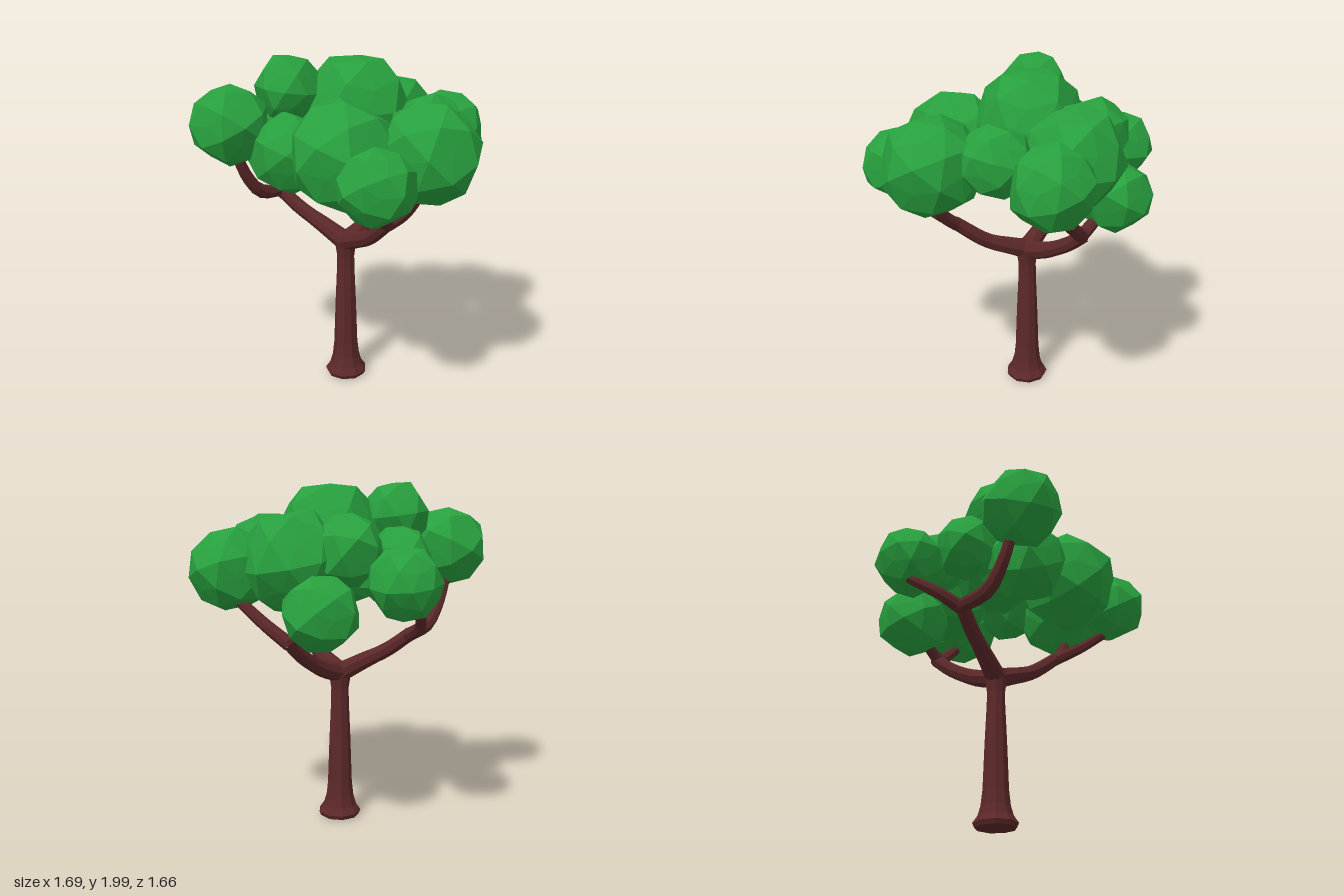
import * as THREE from 'three';
import { mergeVertices } from 'three/addons/utils/BufferGeometryUtils.js';

let seed = 7;
const rand = () => (seed = (seed * 16807) % 2147483647) / 2147483647;

// Faceted ball of leaves: the twelve corners are pressed in to make pentagonal facets
function leafGeometry(r) {
  const strip = (g) => { g.deleteAttribute('normal'); g.deleteAttribute('uv'); return mergeVertices(g); };
  const corners = strip(new THREE.IcosahedronGeometry(1, 0)).attributes.position;
  const geo = strip(new THREE.IcosahedronGeometry(1, 1));
  const pos = geo.attributes.position;
  const v = new THREE.Vector3(), c = new THREE.Vector3();
  for (let i = 0; i < pos.count; i++) {
    v.fromBufferAttribute(pos, i);
    let isCorner = false;
    for (let k = 0; k < corners.count; k++) {
      if (c.fromBufferAttribute(corners, k).dot(v) > 0.99) isCorner = true;
    }
    v.multiplyScalar(r * ((isCorner ? 0.92 : 1.04) + (rand() - 0.5) * 0.06));
    pos.setXYZ(i, v.x, v.y, v.z);
  }
  geo.computeVertexNormals();
  return geo;
}

// Tube along a smooth path whose radius is interpolated between the given values
function limbGeometry(points, radii, segments = 10, sides = 8) {
  const curve = new THREE.CatmullRomCurve3(points.map((p) => new THREE.Vector3(...p)));
  const geo = new THREE.TubeGeometry(curve, segments, 1, sides);
  const pos = geo.attributes.position;
  const v = new THREE.Vector3();
  for (let i = 0; i <= segments; i++) {
    const t = i / segments;
    const centre = curve.getPointAt(t);
    const f = t * (radii.length - 1);
    const k = Math.min(Math.floor(f), radii.length - 2);
    const r = THREE.MathUtils.lerp(radii[k], radii[k + 1], f - k);
    for (let j = 0; j <= sides; j++) {
      const n = i * (sides + 1) + j;
      v.fromBufferAttribute(pos, n).sub(centre).multiplyScalar(r).add(centre);
      pos.setXYZ(n, v.x, v.y, v.z);
    }
  }
  geo.computeVertexNormals();
  return geo;
}

export function createModel() {
  const tree = new THREE.Group();
  tree.name = 'tree';
  const bark = new THREE.MeshStandardMaterial({ color: 0x5c2829 });
  bark.name = 'bark brown';
  bark.flatShading = true;
  const leaf = new THREE.MeshStandardMaterial({ color: 0x28a03e });
  leaf.name = 'leaf green';
  leaf.flatShading = true;
  const add = (geo, mat, name) => {
    const mesh = new THREE.Mesh(geo, mat);
    mesh.name = name;
    tree.add(mesh);
    return mesh;
  };

  // Trunk with a flared foot
  const profile = [
    [0, 0.005], [0.117, 0.01], [0.128, 0.035], [0.1, 0.075], [0.084, 0.13], [0.074, 0.22],
    [0.064, 0.5], [0.054, 0.72], [0.053, 0.8], [0.062, 0.86], [0.07, 0.9], [0.06, 0.94], [0, 0.955],
  ].map(([x, y]) => new THREE.Vector2(x, y));
  add(new THREE.LatheGeometry(profile, 9), bark, 'trunk').position.set(-0.05, 0, 0.015);

  // Main limbs and the boughs that split from them
  const fork = [-0.05, 0.89, 0.02];
  const limbs = {
    leftLimb: [[fork, [0.05, 0.93, 0.025], [0.2, 0.99, 0.04], [0.4, 1.14, 0.06]], [0.06, 0.044, 0.038]],
    leftFrontBough: [[[0.38, 1.12, 0.06], [0.49, 1.19, 0.18], [0.63, 1.31, 0.34]], [0.038, 0.032, 0.026]],
    leftBackBough: [[[0.38, 1.12, 0.06], [0.48, 1.21, 0.02], [0.57, 1.38, -0.04]], [0.038, 0.035, 0.03]],
    rightLimb: [[fork, [-0.18, 0.97, 0.08], [-0.33, 1.06, 0.15], [-0.45, 1.16, 0.21]], [0.06, 0.044, 0.04]],
    rightBough: [[[-0.43, 1.14, 0.2], [-0.57, 1.21, 0.16], [-0.7, 1.32, 0.03]], [0.04, 0.033, 0.025]],
    rightFrontBough: [[[-0.45, 1.15, 0.19], [-0.4, 1.19, 0.38], [-0.385, 1.32, 0.49], [-0.37, 1.55, 0.58]],
      [0.04, 0.042, 0.033, 0.028]],
    backLimb: [[fork, [-0.08, 0.94, -0.14], [-0.13, 1.04, -0.32], [-0.17, 1.14, -0.44]], [0.06, 0.044, 0.04]],
    backRightBough: [[[-0.16, 1.13, -0.42], [-0.24, 1.19, -0.41], [-0.36, 1.28, -0.38]], [0.038, 0.032, 0.022]],
    backLeftBough: [[[-0.16, 1.12, -0.42], [-0.05, 1.22, -0.5], [0.1, 1.36, -0.59]], [0.04, 0.035, 0.03]],
  };
  for (const [name, [points, radii]] of Object.entries(limbs)) {
    add(limbGeometry(points, radii), bark, name);
  }

  // Foliage: x, y, z, radius
  const clumps = [
    [-0.03, 1.7, -0.05, 0.3],
    [0.14, 1.52, -0.6, 0.225],
    [-0.13, 1.57, -0.37, 0.28],
    [-0.39, 1.31, -0.38, 0.205],
    [-0.365, 1.63, -0.19, 0.195],
    [0.56, 1.54, -0.06, 0.275],
    [0.28, 1.53, 0.29, 0.29],
    [0.61, 1.44, 0.34, 0.2],
    [0.3, 1.6, -0.3, 0.195],
    [-0.34, 1.63, 0.6, 0.22],
    [-0.65, 1.47, -0.03, 0.195],
    [-0.24, 1.81, 0.27, 0.19],
    [-0.38, 1.57, 0.17, 0.185],
    [-0.11, 1.48, 0.37, 0.225],
  ];
  clumps.forEach(([x, y, z, r], i) => {
    const clump = add(leafGeometry(r), leaf, `leafClump${i + 1}`);
    clump.position.set(x, y, z);
    clump.rotation.set(rand() * 6, rand() * 6, rand() * 6);
  });
  return tree;
}
